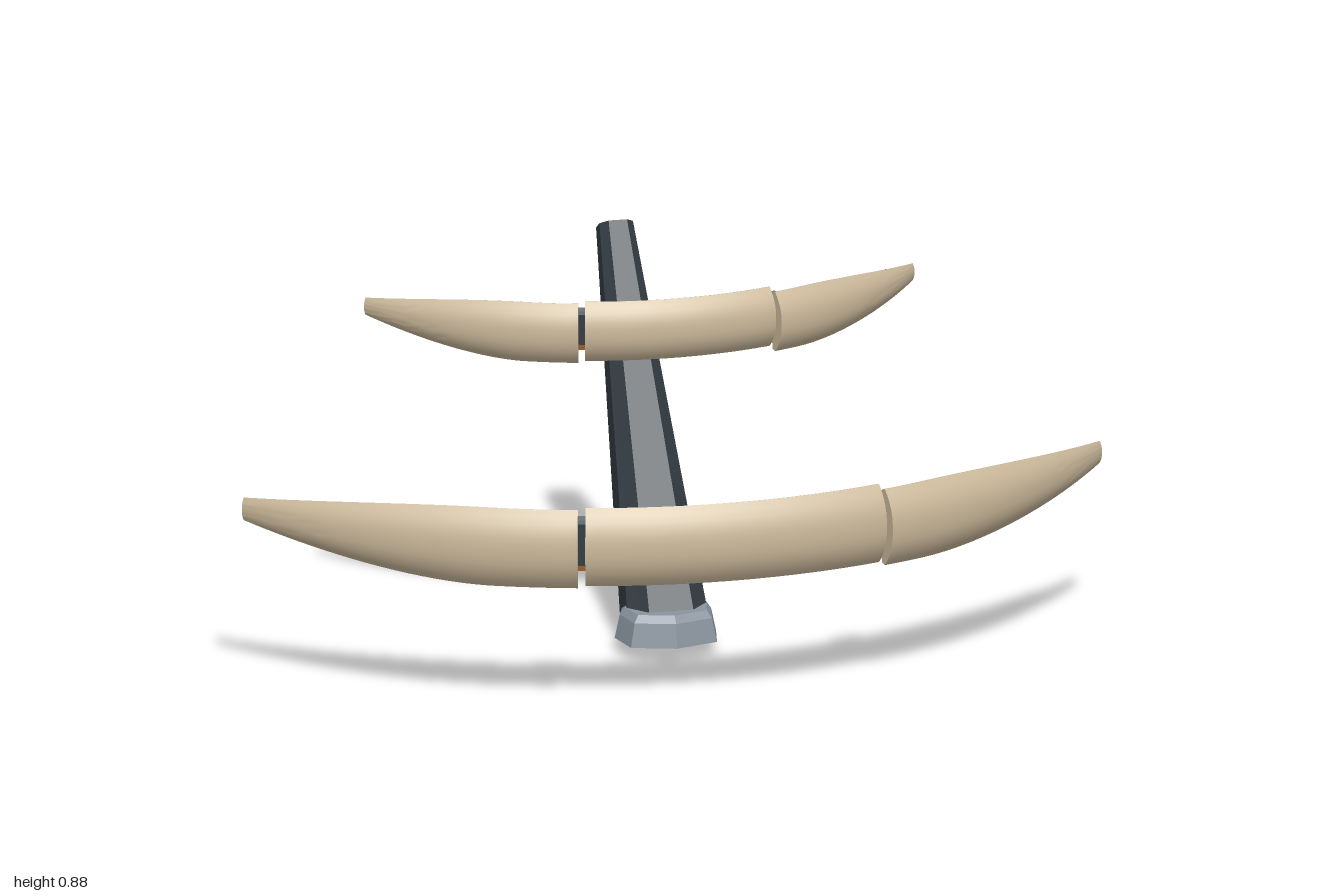
import * as THREE from 'three';
import { toCreasedNormals } from 'three/addons/utils/BufferGeometryUtils.js';

const material = (name, color) => {
  const m = new THREE.MeshStandardMaterial({ color });
  m.name = name;
  return m;
};

// Closed solid through equal-length rings of [x, y, z] points, oriented outward.
function loft(rings, crease = 0.6) {
  const n = rings[0].length;
  const pts = rings.flat();
  const faces = [];
  for (let i = 0; i < rings.length - 1; i++) {
    for (let j = 0; j < n; j++) {
      const a = i * n + j, b = i * n + (j + 1) % n;
      faces.push([a, b, b + n], [a, b + n, a + n]);
    }
  }
  const last = (rings.length - 1) * n;
  for (const [start, flip] of [[0, true], [last, false]]) {
    const c = pts.length;
    pts.push([0, 1, 2].map((k) => pts.slice(start, start + n).reduce((s, p) => s + p[k], 0) / n));
    for (let j = 0; j < n; j++) {
      const a = start + j, b = start + (j + 1) % n;
      faces.push(flip ? [c, b, a] : [c, a, b]);
    }
  }
  const v = pts.map((p) => new THREE.Vector3(...p));
  let volume = 0;
  for (const [a, b, c] of faces) volume += v[a].dot(v[b].clone().cross(v[c]));
  if (volume < 0) faces.forEach((f) => f.reverse());
  const g = new THREE.BufferGeometry();
  g.setAttribute('position', new THREE.Float32BufferAttribute(pts.flat(), 3));
  g.setIndex(faces.flat());
  return toCreasedNormals(g, crease);
}

export function createModel() {
  const model = new THREE.Group();
  const sand = material('sand shell', 0xcbb99b);
  const dark = material('dark slate', 0x323b42);
  const grey = material('collar grey', 0x8b959f);
  const steel = material('clip steel', 0x6c767e);
  const copper = material('copper trim', 0x9a5a2c);

  const add = (parent, name, geometry, mat) => {
    const mesh = new THREE.Mesh(geometry, mat);
    mesh.name = name;
    parent.add(mesh);
    return mesh;
  };

  // Curved three-piece blade with a dark spine, copper trim and two clips behind it.
  function blade(name, o) {
    const group = new THREE.Group();
    group.name = name;
    const R = (o.half ** 2 + o.sag ** 2) / (2 * o.sag);
    const point = (x, d, y) => {
      const a = Math.asin(x / R);
      return [(R + d) * Math.sin(a), y, o.front - R + (R + d) * Math.cos(a)];
    };
    const taper = (x) => Math.max(0, (Math.abs(x) / o.half - 0.52) / 0.48);
    const thin = (x) => 1 - 0.82 * taper(x) ** 2;
    const sweep = (x0, x1, steps, section, crease) => {
      const rings = [];
      for (let i = 0; i <= steps; i++) {
        const x = x0 + (x1 - x0) * i / steps;
        rings.push(section(x).map(([d, y]) => point(x, d, y)));
      }
      return loft(rings, crease);
    };

    // Outer shell pieces: bulged front, narrow rims, nearly flat back
    o.pieces.forEach(([x0, x1, bottom, top], i) => {
      const h = top - bottom;
      const section = (x) => {
        const u = taper(x), w = thin(x) * o.depth;
        const hi = top - h * 0.25 * u ** 2, lo = bottom + h * 0.46 * u ** 1.7;
        const mid = (hi + lo) / 2, r = (hi - lo) / 2;
        const ring = [];
        for (let k = -6; k <= 6; k++) {
          const t = k / 6;
          ring.push([-0.034 * w * Math.abs(t) ** 2.4, mid + r * t]);
        }
        ring.push([-0.046 * w, mid + r * 0.96], [-0.052 * w, mid + r * 0.5],
          [-0.052 * w, mid - r * 0.5], [-0.046 * w, mid - r * 0.96]);
        return ring;
      };
      add(group, ['rightShell', 'centreShell', 'leftShell'][i], sweep(x0, x1, 24, section, 0.55), sand);
    });

    // Spine and trim
    const end = o.half * 0.91;
    const strip = (d0, d1, y0, y1) => (x) => {
      const w = thin(x) * o.depth, s = 1 - 0.55 * taper(x);
      const y = o.mid + 0.02 * o.depth * taper(x) ** 2;
      return [[d0 * w, y + y0 * s], [d0 * w, y + y1 * s], [d1 * w, y + y1 * s], [d1 * w, y + y0 * s]];
    };
    add(group, 'spine', sweep(-end, end, 48, strip(-0.046, -0.073, -o.spine, o.spine), 0.5), dark);
    add(group, 'trim', sweep(-end * 0.85, end * 0.85, 40,
      strip(-0.045, -0.062, -o.spine - 0.008, -o.spine + 0.004), 0.5), copper);

    // Clips over the joints
    o.joints.forEach((x) => {
      const clip = add(group, 'jointClip',
        new THREE.BoxGeometry(0.075 * o.clip, 2 * o.spine + 0.018, 0.034 * o.clip), steel);
      clip.position.set(...point(x, -0.072 * o.depth, o.mid));
      clip.rotation.y = Math.asin(x / R);
    });
    model.add(group);
  }

  blade('lowerBlade', {
    half: 1, sag: 0.485, front: 0.54, depth: 1, mid: 0.41, spine: 0.05, clip: 1,
    pieces: [[-1, -0.325, 0.315, 0.5], [-0.308, 0.4, 0.32, 0.505], [0.415, 1, 0.31, 0.49]],
    joints: [-0.325, 0.415],
  });
  blade('upperBlade', {
    half: 0.64, sag: 0.32, front: 0.055, depth: 0.82, mid: 0.772, spine: 0.036, clip: 0.85,
    pieces: [[-0.64, -0.212, 0.7, 0.84], [-0.197, 0.252, 0.705, 0.845], [0.266, 0.64, 0.69, 0.83]],
    joints: [-0.21, 0.262],
  });

  // Leaning, tapered mast with chamfered edges
  const mast = new THREE.Group();
  mast.name = 'mast';
  mast.position.set(0, 0.048, -0.006);
  mast.rotation.x = -0.553;
  model.add(mast);
  const octagon = (w, d, y) => [[1, 0.5], [0.55, 1], [-0.55, 1], [-1, 0.5],
    [-1, -0.5], [-0.55, -1], [0.55, -1], [1, -0.5]].map(([x, z]) => [x * w, y, z * d]);
  add(mast, 'mastBody', loft([octagon(0.095, 0.081, 0), octagon(0.039, 0.038, 0.955)], 0.2), dark);

  // Plate on the back of the mast
  const outline = new THREE.Shape([[-0.035, 0], [0.035, 0], [0.053, 0.06], [0.033, 0.59],
    [0.024, 0.615], [-0.024, 0.615], [-0.033, 0.59], [-0.053, 0.06]]
    .map(([x, y]) => new THREE.Vector2(x, y)));
  const plate = add(mast, 'backPlate',
    new THREE.ExtrudeGeometry(outline, { depth: 0.013, bevelEnabled: false }), sand);
  plate.position.set(0, 0.169, -0.0886);
  plate.rotation.x = 0.035;

  // Faceted foot collar
  const foot = [[0, 0.105], [0.1, 0.075], [0.118, -0.01], [0.085, -0.108],
    [-0.085, -0.108], [-0.118, -0.01], [-0.1, 0.075]];
  const ring = (s, y) => foot.map(([x, z]) => [x * s, y, z * s]);
  add(model, 'footCollar', loft([ring(1, 0.04), ring(0.9, 0.095), ring(0.8, 0.112)], 0.2), grey);

  return model;
}
